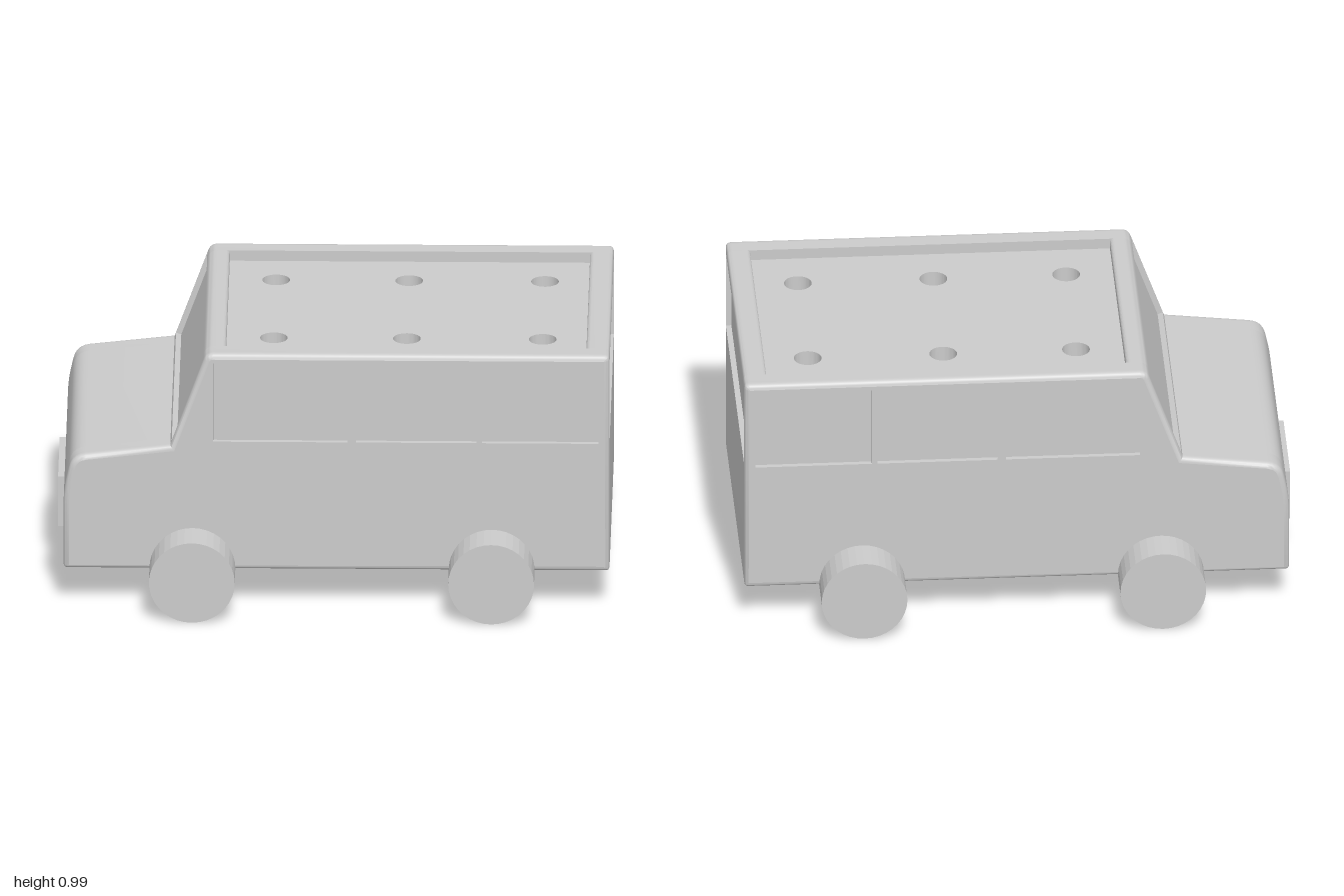
import * as THREE from 'three';
import { toCreasedNormals } from 'three/addons/utils/BufferGeometryUtils.js';

const material = new THREE.MeshStandardMaterial({ color: 0xcccccc, side: THREE.DoubleSide });

function add(parent, geometry, name, x = 0, y = 0, z = 0) {
  const mesh = new THREE.Mesh(geometry, material);
  mesh.name = name;
  mesh.position.set(x, y, z);
  parent.add(mesh);
  return mesh;
}

// Turns corners [x, y, radius] into an outline with rounded corners.
function rounded(corners) {
  const out = [];
  corners.forEach(([x, y, r = 0], i) => {
    const p = new THREE.Vector2(x, y);
    if (!r) return out.push(p);
    const toward = (q) => new THREE.Vector2(q[0], q[1]).sub(p).setLength(r).add(p);
    const a = toward(corners.at(i - 1));
    const b = toward(corners[(i + 1) % corners.length]);
    out.push(...new THREE.QuadraticBezierCurve(a, p, b).getPoints(5));
  });
  return out;
}

// Moves a clockwise outline inward by d.
function inset(points, d) {
  return points.map((p, i) => {
    const a = p.clone().sub(points.at(i - 1)).normalize();
    const b = points[(i + 1) % points.length].clone().sub(p).normalize();
    const k = d / (1 + a.dot(b));
    return new THREE.Vector2(p.x + (a.y + b.y) * k, p.y - (a.x + b.x) * k);
  });
}

// Skins a stack of closed outlines, each { points, z }.
function loft(rings) {
  const n = rings[0].points.length;
  const position = [];
  const index = [];
  rings.forEach(({ points, z }, r) => points.forEach((p, i) => {
    position.push(p.x, p.y, z);
    if (!r) return;
    const j = (i + 1) % n;
    const low = (r - 1) * n;
    const high = r * n;
    index.push(low + i, high + i, low + j, high + i, high + j, low + j);
  }));
  const geometry = new THREE.BufferGeometry();
  geometry.setAttribute('position', new THREE.Float32BufferAttribute(position, 3));
  geometry.setIndex(index);
  geometry.computeVertexNormals();
  return toCreasedNormals(geometry, 0.6);
}

const extrude = (shape, depth) => toCreasedNormals(
  new THREE.ExtrudeGeometry(shape, { depth, bevelEnabled: false, curveSegments: 24 }), 0.6);

// Side profile, clockwise from the bottom of the nose.
const nose = [[-0.975, 0.45, 0.05], [-0.945, 0.59, 0.05], [-0.59, 0.63]];
const noseBottom = [-0.975, 0.15, 0.015];
const tail = [[0.995, 0.99, 0.02], [0.995, 0.15, 0.015]];
const frontRoof = [-0.46, 0.99, 0.025];

// Recesses cut into the profile between the side panels.
const windshield = [[-0.585, 0.645], [-0.566, 0.638], [-0.453, 0.95], [-0.472, 0.957]];
const rearWindow = [[0.995, 0.955], [0.975, 0.955], [0.975, 0.65], [0.995, 0.65]];
const roofWell = [[-0.39, 0.99, 0.015], [-0.39, 0.87], [0.91, 0.87], [0.91, 0.99, 0.015]];
const grille = [];
for (let i = 0; i < 4; i++) {
  const y = 0.18 + i * 0.055;
  grille.push([-0.975, y], [-0.94, y], [-0.94, y + 0.033], [-0.975, y + 0.033]);
}

function buildCore(body) {
  const core = (slots, well) => new THREE.Shape(rounded([
    noseBottom, ...slots, ...nose, ...windshield, frontRoof, ...well, tail[0], ...rearWindow, tail[1],
  ]));
  add(body, extrude(core(grille, roofWell), 0.9), 'bodyCore', 0, 0, -0.45);
  for (const z of [-0.505, 0.45]) add(body, extrude(core([], []), 0.055), 'roofSideRail', 0, 0, z);

  // Sunken roof panel with six round holes
  const panel = new THREE.Shape([[-0.39, -0.45], [0.91, -0.45], [0.91, 0.45], [-0.39, 0.45]]
    .map(([x, y]) => new THREE.Vector2(x, y)));
  for (const x of [-0.22, 0.26, 0.75]) {
    for (const y of [-0.272, 0.272]) {
      panel.holes.push(new THREE.Path().absarc(x, y, 0.05, 0, Math.PI * 2, true));
    }
  }
  add(body, extrude(panel, 0.08), 'roofPanel', 0, 0.87).rotation.x = -Math.PI / 2;
}

function buildSide() {
  const side = new THREE.Group();
  side.name = 'sidePanel';
  const outline = rounded([noseBottom, ...nose, frontRoof, ...tail]);
  const rings = [{ points: outline, z: 0.505 }];
  for (let i = 0; i <= 4; i++) {
    const a = (i / 4) * Math.PI / 2;
    rings.push({ points: inset(outline, 0.02 * (1 - Math.cos(a))), z: 0.51 + 0.02 * Math.sin(a) });
  }
  add(side, loft(rings), 'roundedEdge');
  add(side, new THREE.ShapeGeometry(new THREE.Shape(outline)), 'innerFace', 0, 0, 0.505);

  // Outer face with three sunken windows
  const face = new THREE.Shape(rings.at(-1).points);
  for (const [x0, x1] of [[-0.435, 0.05], [0.08, 0.515], [0.535, 0.955]]) {
    const frame = [[x0, 0.65], [x1, 0.65], [x1, 0.955], [x0, 0.955]]
      .map(([x, y]) => new THREE.Vector2(x, y));
    face.holes.push(new THREE.Path(frame));
    // Counter-clockwise rings face into the recess
    add(side, loft([{ points: frame, z: 0.512 }, { points: frame, z: 0.53 }]), 'windowFrame');
    add(side, new THREE.PlaneGeometry(x1 - x0, 0.305), 'sideWindow', (x0 + x1) / 2, 0.8025, 0.512);
  }
  add(side, new THREE.ShapeGeometry(face), 'outerFace', 0, 0, 0.53);
  return side;
}

export function createModel() {
  const model = new THREE.Group();
  model.name = 'van';

  const body = new THREE.Group();
  body.name = 'body';
  body.position.z = -0.004;
  model.add(body);
  buildCore(body);
  for (const s of [1, -1]) {
    const side = buildSide();
    side.scale.z = s;
    body.add(side);
  }
  add(body, new THREE.BoxGeometry(0.04, 0.195, 0.37), 'frontPlate', -0.98, 0.268, -0.005);

  // Wide wheels with a chamfered inner end
  const profile = [[0, 0.33], [0.127, 0.33], [0.155, 0.358], [0.155, 0.67], [0, 0.67]]
    .map(([r, h]) => new THREE.Vector2(r, h));
  const wheel = toCreasedNormals(new THREE.LatheGeometry(profile, 36), 0.1);
  for (const x of [-0.51, 0.57]) {
    for (const s of [1, -1]) {
      add(model, wheel, 'wheel', x, 0.157, 0).rotation.x = s * Math.PI / 2;
    }
  }
  return model;
}
